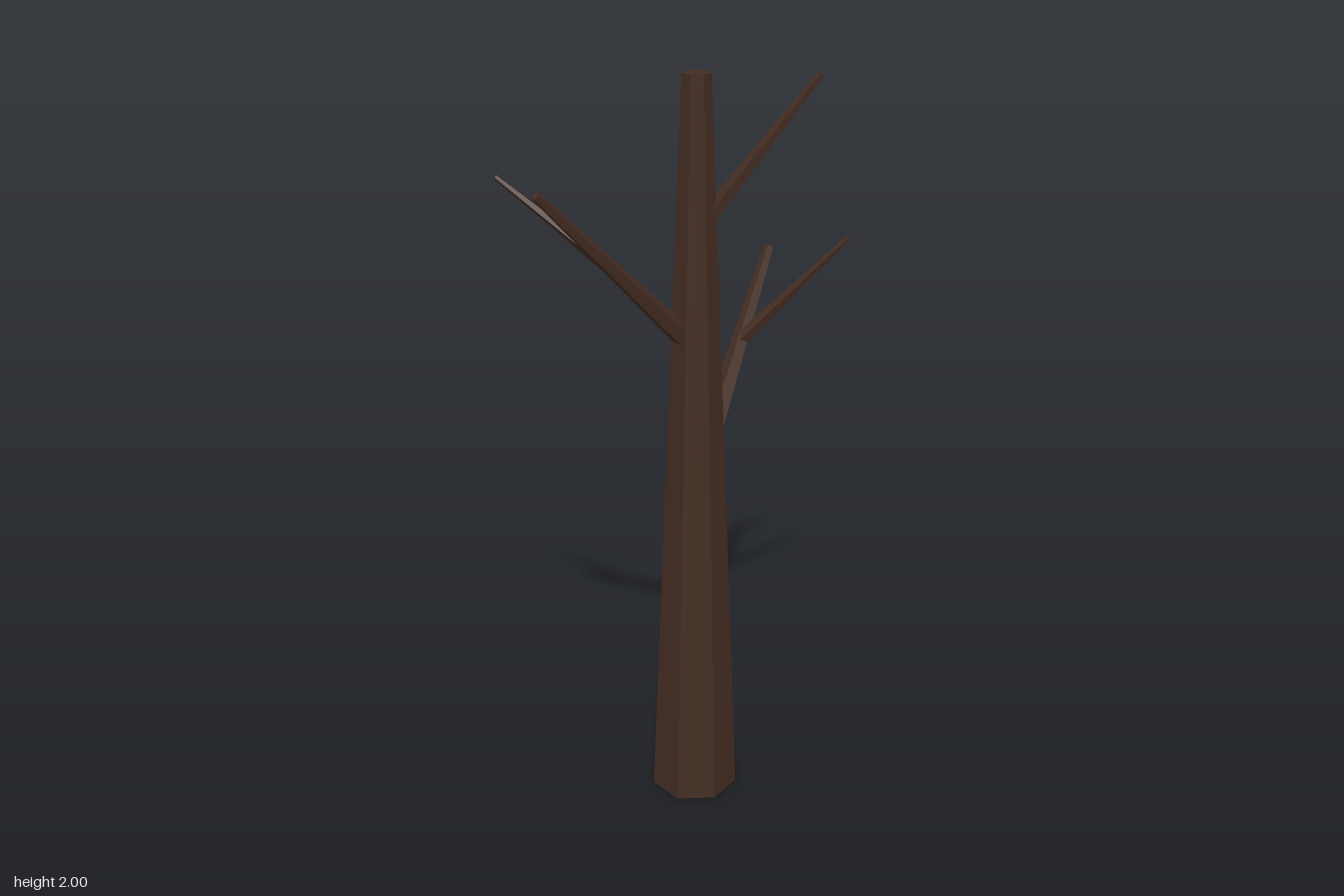
import * as THREE from 'three';

const V = (x, y, z) => new THREE.Vector3(x, y, z);

export function createModel() {
  const tree = new THREE.Group();
  tree.name = 'bareTree';
  const bark = new THREE.MeshStandardMaterial({ color: 0x432c22, flatShading: true });
  bark.name = 'dark brown bark';

  // Tapered limb running between two points
  function limb(name, from, to, rFrom, rTo, sides) {
    const dir = to.clone().sub(from);
    const mesh = new THREE.Mesh(new THREE.CylinderGeometry(rTo, rFrom, dir.length(), sides), bark);
    mesh.name = name;
    mesh.position.copy(from).addScaledVector(dir, 0.5);
    mesh.quaternion.setFromUnitVectors(V(0, 1, 0), dir.normalize());
    tree.add(mesh);
    return mesh;
  }

  // Seven-sided trunk with one corner towards the back
  const cx = -0.022, cz = 0.053;
  limb('trunk', V(cx, 0, cz), V(cx, 2, cz), 0.12, 0.037, 7).rotateY(Math.PI);

  // Branches grow from the trunk axis; twigs fork from a branch at fraction t
  const branches = [
    { name: 'lowerLeftBranch', y: 0.92, tip: V(0.435, 1.455, -0.024), r: [0.037, 0.014],
      twig: { t: 0.6, tip: V(0.4, 1.533, 0.245), r: [0.021, 0.007] } },
    { name: 'middleRightBranch', y: 1.306, tip: V(-0.44, 1.765, -0.1), r: [0.031, 0.012],
      twig: { t: 0.55, tip: V(-0.365, 1.768, -0.29), r: [0.018, 0.006] } },
    { name: 'upperFrontBranch', y: 1.61, tip: V(0.167, 1.994, 0.284), r: [0.026, 0.009] },
  ];
  for (const { name, y, tip, r, twig } of branches) {
    const root = V(cx, y, cz);
    limb(name, root, tip, r[0], r[1], 5);
    if (twig) {
      limb(name + 'Twig', root.clone().lerp(tip, twig.t), twig.tip, twig.r[0], twig.r[1], 5);
    }
  }
  return tree;
}
